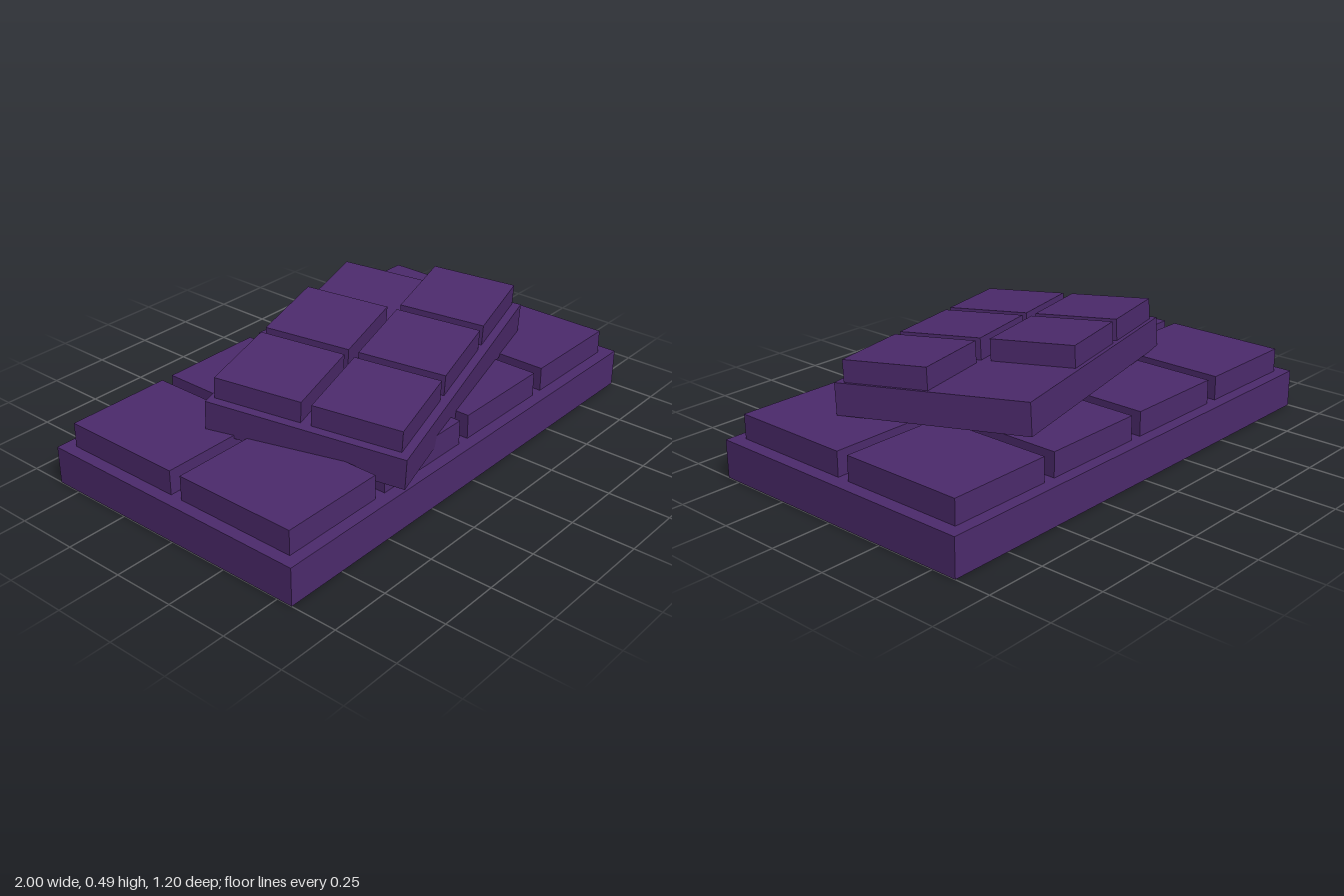
import * as THREE from 'three';

const purple = new THREE.MeshStandardMaterial({ color: 0x4c2a6c, side: THREE.DoubleSide });
purple.name = 'dark purple';

// Box given by its min and max corners
function block(name, [x0, y0, z0], [x1, y1, z1]) {
  const geo = new THREE.BoxGeometry(x1 - x0, y1 - y0, z1 - z0);
  geo.translate((x0 + x1) / 2, (y0 + y1) / 2, (z0 + z1) / 2);
  const mesh = new THREE.Mesh(geo, purple);
  mesh.name = name;
  return mesh;
}

export function createModel() {
  const model = new THREE.Group();
  model.name = 'stackedBars';

  // Lower bar: a slab open underneath, with 4 x 2 raised squares
  const lower = new THREE.Group();
  lower.name = 'lowerBar';
  const slab = block('lowerSlab', [-1, 0, -0.602], [1, 0.152, 0.563]);
  const index = Array.from(slab.geometry.index.array);
  index.splice(18, 6); // drop the bottom face
  slab.geometry.setIndex(index);
  slab.geometry.clearGroups();
  lower.add(slab);
  for (let col = 0; col < 4; col++) {
    for (const z of [-0.553, 0.006]) {
      const x = -0.951 + col * 0.487;
      lower.add(block('lowerSquare', [x, 0.152, z], [x + 0.436, 0.25, z + 0.508]));
    }
  }
  model.add(lower);

  // Upper bar: local origin at its front left bottom corner
  const upper = new THREE.Group();
  upper.name = 'upperBar';
  upper.add(block('upperSlab', [0, 0, -0.783], [1.23, 0.124, 0]));
  const columns = [[0.036, 0.4], [0.438, 0.806], [0.845, 1.218]];
  const rows = [[-0.38, -0.034], [-0.765, -0.42]];
  rows.forEach(([z0, z1], r) => columns.forEach(([x0, x1], c) => {
    if (r === 1 && c === 2) return; // the back right square is missing
    upper.add(block('upperSquare', [x0, 0.124, z0], [x1, 0.21, z1]));
  }));

  // Turn and tilt it to rest on the lower bar
  const xAxis = new THREE.Vector3(1.18, 0.06, -0.34).normalize();
  const yAxis = new THREE.Vector3(0.22, -0.055, 0.75).cross(xAxis).normalize();
  const zAxis = new THREE.Vector3().crossVectors(xAxis, yAxis);
  upper.quaternion.setFromRotationMatrix(new THREE.Matrix4().makeBasis(xAxis, yAxis, zAxis));
  upper.position.set(-0.45, 0.19, 0.592);
  model.add(upper);

  return model;
}
